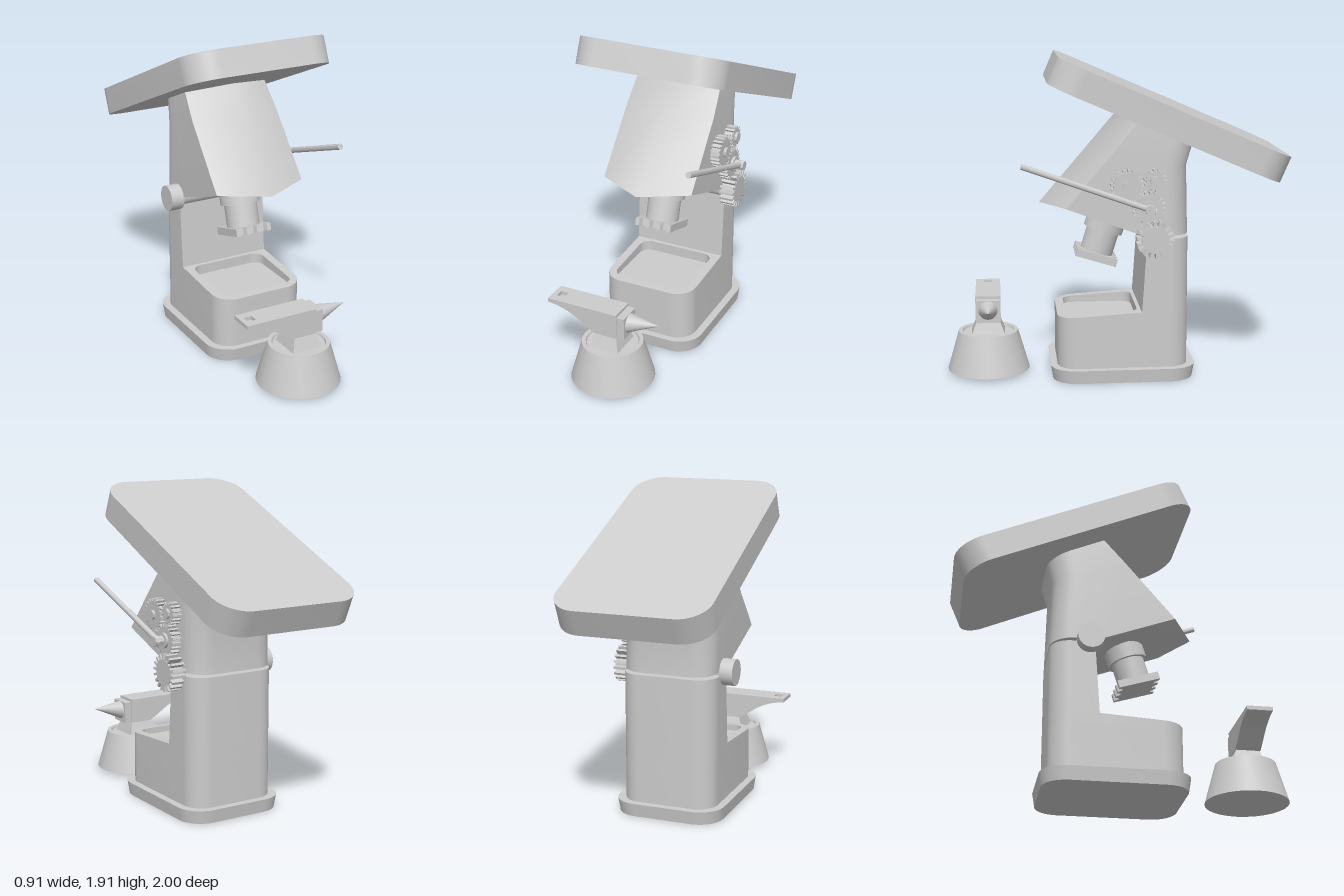
import * as THREE from 'three';
import { toCreasedNormals } from 'three/addons/utils/BufferGeometryUtils.js';

const material = new THREE.MeshStandardMaterial({ color: 0xcccccc });

function add(parent, name, geometry, x = 0, y = 0, z = 0, crease = 0.7) {
  const mesh = new THREE.Mesh(toCreasedNormals(geometry, crease), material);
  mesh.name = name;
  mesh.position.set(x, y, z);
  parent.add(mesh);
  return mesh;
}

// Rounded rectangle; front and back corner radii may differ
function roundedRect(w, d, rf, rb = rf, Type = THREE.Shape) {
  const s = new Type(), x = w / 2, y = d / 2, q = Math.PI / 2;
  s.moveTo(-x + rf, -y);
  s.lineTo(x - rf, -y);
  if (rf) s.absarc(x - rf, -y + rf, rf, -q, 0);
  s.lineTo(x, y - rb);
  if (rb) s.absarc(x - rb, y - rb, rb, 0, q);
  s.lineTo(-x + rb, y);
  if (rb) s.absarc(-x + rb, y - rb, rb, q, 2 * q);
  s.lineTo(-x, -y + rf);
  if (rf) s.absarc(-x + rf, -y + rf, rf, 2 * q, 3 * q);
  return s;
}

const extrude = (shape, depth) =>
  new THREE.ExtrudeGeometry(shape, { depth, bevelEnabled: false, curveSegments: 8 });

// Plan shape raised along y
const raise = (shape, height) => extrude(shape, height).rotateX(-Math.PI / 2);

// Moves every vertex by a rule
function warp(geometry, rule) {
  const p = geometry.attributes.position, v = new THREE.Vector3();
  for (let i = 0; i < p.count; i++) {
    rule(v.fromBufferAttribute(p, i));
    p.setXYZ(i, v.x, v.y, v.z);
  }
  return geometry;
}

// Spur gear lying along +x
function gear(outer, root, teeth, width) {
  const points = [];
  for (let i = 0; i < teeth; i++) {
    [[0, root], [0.5, root], [0.56, outer], [0.94, outer]].forEach(([t, r]) => {
      const a = ((i + t) / teeth) * Math.PI * 2;
      points.push(new THREE.Vector2(Math.cos(a) * r, Math.sin(a) * r));
    });
  }
  return extrude(new THREE.Shape(points), width).rotateY(Math.PI / 2);
}

// Cylinder along x, starting at x = 0
const axle = (r, length, sides = 24) =>
  new THREE.CylinderGeometry(r, r, length, sides).rotateZ(-Math.PI / 2).translate(length / 2, 0, 0);

// Leaning head: rings of a plan with a pointed front and a rounded back
function headGeometry() {
  const levels = [
    { w: 0.28, ridge: [0.445, 1.03], side: [0.3, 1.035], mid: [-0.12, 0.88], back: [-0.42, 0.865] },
    { w: 0.278, ridge: [0.12, 1.41], side: [0.0, 1.39], mid: [-0.2, 1.3], back: [-0.41, 1.27] },
    { w: 0.265, ridge: [-0.02, 1.575], side: [-0.12, 1.535], mid: [-0.26, 1.475], back: [-0.45, 1.395] },
  ];
  const rings = levels.map(({ w, ridge, side, mid, back }) => {
    const half = [[w, side[1], side[0]], [w, mid[1], mid[0]]];
    const r = 0.13;
    for (let i = 0; i <= 6; i++) {
      const a = (i / 6) * Math.PI / 2;
      const z = back[0] + r * (1 - Math.sin(a));
      const y = back[1] + (mid[1] - back[1]) * (z - back[0]) / (mid[0] - back[0]);
      half.push([w - r + r * Math.cos(a), y, z]);
    }
    const mirrored = half.map(([x, y, z]) => [-x, y, z]).reverse();
    return [[0, ridge[1], ridge[0]], ...half, ...mirrored];
  });
  const n = rings[0].length, index = [];
  const positions = rings.flat(2);
  for (let k = 0; k < 2; k++) {
    for (let i = 0; i < n; i++) {
      const a = k * n + i, b = k * n + (i + 1) % n;
      index.push(a, b, b + n, a, b + n, a + n);
    }
  }
  // Caps
  const low = 3 * n, high = low + 1;
  positions.push(0, 0.89, -0.12, 0, 1.475, -0.26);
  for (let i = 0; i < n; i++) {
    const j = (i + 1) % n;
    index.push(low, j, i, high, 2 * n + i, 2 * n + j);
  }
  const g = new THREE.BufferGeometry();
  g.setAttribute('position', new THREE.Float32BufferAttribute(positions, 3));
  g.setIndex(index);
  return g;
}

function buildMachine() {
  const g = new THREE.Group();
  g.name = 'machine';

  // Plinth, narrowing slightly to the floor
  add(g, 'plinth', warp(raise(roundedRect(0.66, 0.855, 0.15), 0.08), (v) => {
    if (v.y < 0.01) { v.x *= 0.97; v.z *= 0.97; }
  }), 0, 0, -0.0375);

  // Lower body with a sloping tray rim
  add(g, 'lowerBody', raise(roundedRect(0.57, 0.77, 0.12), 0.27), 0, 0.08, -0.035);
  const rim = roundedRect(0.57, 0.77, 0.12);
  const opening = roundedRect(0.47, 0.42, 0.06, 0.06, THREE.Path);
  rim.holes.push(new THREE.Path(opening.getPoints(6).map((p) => p.add(new THREE.Vector2(0, -0.125)))));
  add(g, 'trayRim', warp(raise(rim, 0.06), (v) => {
    if (v.y > 0.03) v.y = 0.057 - 0.06 * (v.z - 0.0);
  }), 0, 0.35, -0.035);

  // Column, its front face leaning back
  add(g, 'column', warp(raise(roundedRect(0.57, 0.28, 0, 0.12), 0.45), (v) => {
    if (v.z > 0.1 && v.y > 0.2) v.z -= 0.03;
  }), 0, 0.4, -0.28);

  add(g, 'head', headGeometry(), 0, 0, 0, 0.85);
  add(g, 'topSlab', raise(roundedRect(0.91, 1.46, 0.17), 0.16).translate(0, -0.08, 0), 0, 1.5425, -0.2975)
    .rotation.x = -0.408;

  // Cross shaft with a knob
  add(g, 'crossShaft', axle(0.055, 0.62), -0.31, 0.86, -0.2);
  add(g, 'knob', axle(0.078, 0.08), -0.358, 0.86, -0.2);
  return g;
}

function buildRam() {
  const g = new THREE.Group();
  g.name = 'ram';
  g.position.set(0, 0.686, 0.118);
  g.rotation.x = -0.3;

  // Die plate with notched front and back edges
  const half = 0.115, points = [];
  const edge = [[-half, 0.125]];
  for (const c of [-0.068, 0, 0.068]) {
    edge.push([c - 0.022, 0.125], [c - 0.012, 0.098], [c + 0.012, 0.098], [c + 0.022, 0.125]);
  }
  edge.push([half, 0.125]);
  edge.forEach(([x, y]) => points.push(new THREE.Vector2(x, -y)));
  edge.reverse().forEach(([x, y]) => points.push(new THREE.Vector2(x, y)));
  add(g, 'diePlate', raise(new THREE.Shape(points), 0.045));

  add(g, 'ramShaft', new THREE.CylinderGeometry(0.098, 0.098, 0.2, 32), 0, 0.14, 0);
  add(g, 'ramCollar', new THREE.CylinderGeometry(0.118, 0.118, 0.14, 32), 0, 0.25, 0);
  return g;
}

function buildGears() {
  const g = new THREE.Group();
  g.name = 'gearTrain';
  // y, z, outer radius, root radius, teeth, width, hub radius
  [
    [0.86, -0.21, 0.11, 0.078, 18, 0.085, 0],
    [1.04, -0.175, 0.096, 0.08, 20, 0.055, 0.045],
    [1.17, -0.05, 0.096, 0.08, 20, 0.055, 0.028],
    [1.2, -0.21, 0.066, 0.053, 14, 0.055, 0.03],
  ].forEach(([y, z, outer, root, teeth, width, hub]) => {
    add(g, 'gear', gear(outer, root, teeth, width), 0.279, y, z);
    if (hub) add(g, 'gearHub', axle(hub, 0.075), 0.275, y, z);
  });

  // Crank lever
  add(g, 'crankHub', axle(0.03, 0.08, 8), 0.327, 1.04, -0.175);
  const lever = add(g, 'crankLever', new THREE.CylinderGeometry(0.017, 0.017, 0.81, 16), 0.377, 1.165, 0.173);
  lever.rotation.x = Math.PI / 2 - 0.34;
  return g;
}

function buildAnvil() {
  const g = new THREE.Group();
  g.name = 'anvilOnStump';
  g.position.z = 0.757;

  const profile = [[0, 0.02], [0.245, 0.02], [0.178, 0.255], [0.155, 0.255], [0.15, 0.243], [0, 0.243]];
  add(g, 'stump', new THREE.LatheGeometry(profile.map(([x, y]) => new THREE.Vector2(x, y)), 28));

  // Flared foot
  add(g, 'anvilFoot', warp(new THREE.BoxGeometry(0.18, 0.085, 0.2), (v) => {
    if (v.y > 0) { v.x *= 0.72; v.z *= 0.68; }
  }), -0.005, 0.2825, 0);

  // Body with a curved heel
  const body = new THREE.Shape();
  body.moveTo(-0.375, 0.452);
  body.bezierCurveTo(-0.22, 0.44, -0.17, 0.37, -0.075, 0.322);
  body.lineTo(0.065, 0.322);
  body.lineTo(0.065, 0.452);
  add(g, 'anvilBody', extrude(body, 0.15), 0, 0, -0.075);

  // Face plate with a square hole near the heel
  const face = roundedRect(0.44, 0.15, 0);
  const hole = [[-0.19, -0.025], [-0.19, 0.025], [-0.14, 0.025], [-0.14, -0.025]];
  face.holes.push(new THREE.Path(hole.map(([x, y]) => new THREE.Vector2(x, y))));
  add(g, 'anvilFace', raise(face, 0.023), -0.155, 0.452, 0);

  add(g, 'anvilStep', new THREE.BoxGeometry(0.05, 0.135, 0.14), 0.087, 0.392, 0);
  // Horn, its tip rising a little
  add(g, 'anvilHorn', warp(new THREE.ConeGeometry(0.058, 0.19, 20).rotateZ(-Math.PI / 2), (v) => {
    v.y += 0.03 * (v.x + 0.095) / 0.19;
  }), 0.203, 0.4, 0);
  return g;
}

export function createModel() {
  const model = new THREE.Group();
  model.name = 'gearedPress';
  model.add(buildMachine(), buildRam(), buildGears(), buildAnvil());
  return model;
}
